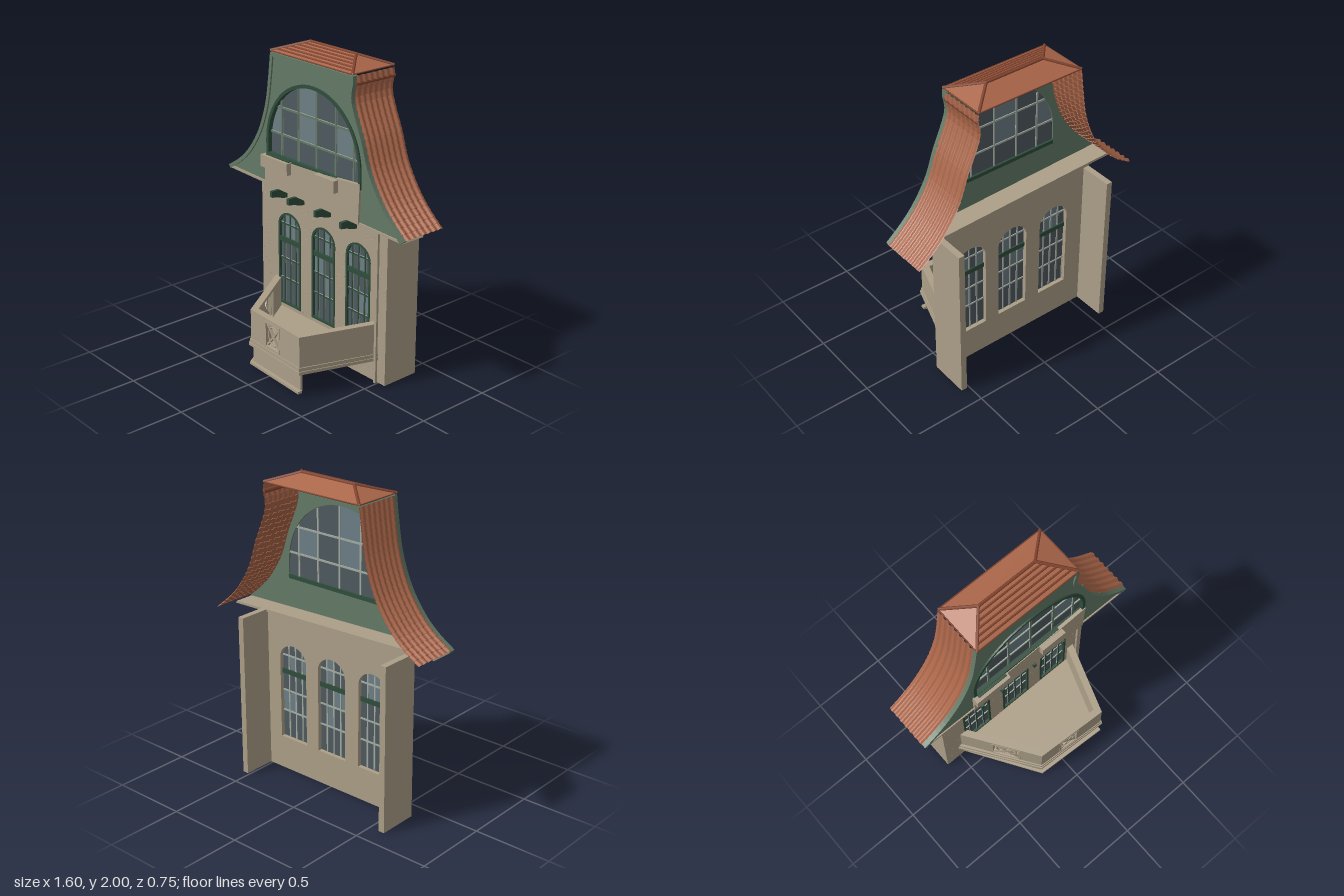
import * as THREE from 'three';
import { mergeGeometries } from 'three/addons/utils/BufferGeometryUtils.js';

const mat = (name, color, side = THREE.FrontSide) => {
  const m = new THREE.MeshStandardMaterial({ color, side });
  m.name = name;
  return m;
};
const V2 = (x, y) => new THREE.Vector2(x, y);
const V3 = (x, y, z) => new THREE.Vector3(x, y, z);

export function createModel() {
  const model = new THREE.Group();
  model.name = 'gabledFacade';
  const stone = mat('stone', 0xac9f88), green = mat('gableGreen', 0x647a67), dark = mat('darkGreen', 0x304e3d);
  const tile = mat('roofTile', 0xaa6649, THREE.DoubleSide), ridge = mat('ridgeTile', 0x84452f);
  const glassDark = mat('darkGlass', 0x4f5a5f), glassLight = mat('lightGlass', 0x6d7f86), pale = mat('paleBar', 0xa3aba2);

  const add = (name, geo, material, parent = model) => {
    const m = new THREE.Mesh(geo, material);
    m.name = name;
    parent.add(m);
    return m;
  };
  // box given by its limits
  const box = (name, x0, x1, y0, y1, z0, z1, material, parent) =>
    add(name, new THREE.BoxGeometry(x1 - x0, y1 - y0, z1 - z0)
      .translate((x0 + x1) / 2, (y0 + y1) / 2, (z0 + z1) / 2), material, parent);
  // outline in xy, extruded between z0 and z1
  const plate = (name, shape, z0, z1, material, parent) =>
    add(name, new THREE.ExtrudeGeometry(shape, { depth: z1 - z0, bevelEnabled: false, curveSegments: 20 })
      .translate(0, 0, z0), material, parent);
  // plan outline in xz, extruded between y0 and y1
  const slab = (name, pts, y0, y1, material) =>
    add(name, new THREE.ExtrudeGeometry(new THREE.Shape(pts.map(([x, z]) => V2(x, -z))), { depth: y1 - y0, bevelEnabled: false })
      .rotateX(-Math.PI / 2).translate(0, y0, 0), material);
  const rod = (name, a, b, r, material) =>
    add(name, new THREE.TubeGeometry(new THREE.LineCurve3(a, b), 1, r, 6), material);

  // ---------- arched windows ----------
  const arch = (w, inset = 0) => {
    const s = new THREE.Shape(), rx = w.rx - inset;
    s.moveTo(w.cx - rx, w.y0 + inset);
    s.lineTo(w.cx + rx, w.y0 + inset);
    s.lineTo(w.cx + rx, w.ys);
    s.absellipse(w.cx, w.ys, rx, w.ry - inset, 0, Math.PI, false);
    return s;
  };
  const archTop = (w, x) => w.ys + w.ry * Math.sqrt(Math.max(0, 1 - ((x - w.cx) / w.rx) ** 2));
  const archHalf = (w, y) => y <= w.ys ? w.rx : w.rx * Math.sqrt(Math.max(0, 1 - ((y - w.ys) / w.ry) ** 2));
  const addWindow = (name, w) => {
    const g = new THREE.Group();
    g.name = name;
    model.add(g);
    const ring = arch(w);
    ring.holes.push(arch(w, w.frame));
    plate('frame', ring, w.z, w.front, dark, g);
    const xs = [w.cx - w.rx, ...w.cols, w.cx + w.rx], ys = [w.y0, ...w.rows, w.ys + w.ry];
    // panes, cut off by the arch
    for (let c = 0; c + 1 < xs.length; c++) for (let r = 0; r + 1 < ys.length; r++) {
      const top = [];
      for (let i = 0; i <= 8; i++) {
        const x = xs[c + 1] + (xs[c] - xs[c + 1]) * i / 8;
        top.push(V2(x, Math.max(ys[r], Math.min(ys[r + 1], archTop(w, x)))));
      }
      if (top.every(p => p.y - ys[r] < 0.005)) continue;
      const shape = new THREE.Shape([V2(xs[c], ys[r]), V2(xs[c + 1], ys[r]), ...top]);
      plate('pane', shape, w.z - 0.003, w.z + 0.003, w.light.includes(c + ',' + r) ? glassLight : glassDark, g);
    }
    // pale bars with a painted front strip
    const b = w.bar / 2;
    const bar = (n, x0, x1, y0, y1, d) => {
      box(n, x0, x1, y0, y1, w.z - 0.008 - d, w.z + 0.009 + d, pale, g);
      box(n + 'Front', x0, x1, y0, y1, w.z + 0.009 + d, w.z + 0.012 + d, w.barMat, g);
    };
    for (const x of w.cols) bar('mullion', x - b, x + b, w.y0, archTop(w, x) - 0.005, 0);
    for (const y of w.rows) bar('glazingBar', w.cx - archHalf(w, y), w.cx + archHalf(w, y), y - b, y + b, 0.001);
    if (w.transom) box('transom', w.cx - w.rx, w.cx + w.rx, w.transom - 0.016, w.transom + 0.016, w.z - 0.012, w.front - 0.002, dark, g);
  };

  const lower = [[-0.331, ['1,4', '2,4', '1,3', '2,3']], [-0.008, ['2,4', '2,3', '0,2', '1,2', '2,1']], [0.307, ['0,3', '2,3', '2,1', '3,1']]]
    .map(([cx, light]) => ({
      cx, rx: 0.108, y0: 0.22, ys: 0.765, ry: 0.098, z: -0.13, front: -0.111, frame: 0.014, bar: 0.01, barMat: dark, light,
      cols: [-0.055, 0, 0.055].map(d => cx + d), rows: [0.4, 0.54, 0.665, 0.78], transom: 0.67,
    }));
  lower.forEach((w, i) => addWindow('archedWindow' + (i + 1), w));
  const big = {
    cx: 0.015, rx: 0.425, y0: 1.265, ys: 1.36, ry: 0.43, z: -0.028, front: 0.004, frame: 0.02, bar: 0.012, barMat: green,
    cols: [-0.285, -0.13, 0.035, 0.205, 0.36], rows: [1.42, 1.59], light: ['2,2', '0,1', '2,1', '4,1'],
  };
  addWindow('gableWindow', big);

  // ---------- walls ----------
  const wall = new THREE.Shape([V2(-0.605, 0), V2(0.555, 0), V2(0.555, 1.05), V2(-0.605, 1.085)]);
  lower.forEach(w => wall.holes.push(arch(w)));
  plate('frontWall', wall, -0.16, -0.115, stone);
  box('rightSideWall', -0.605, -0.565, 0, 1.06, -0.375, -0.116, stone);
  box('leftSideWall', 0.515, 0.555, 0, 1.06, -0.375, -0.116, stone);
  // sloping underside along the whole eave
  plate('soffit', new THREE.Shape([V2(-0.785, 1.082), V2(0.785, 1.037), V2(0.775, 1.052), V2(-0.775, 1.098)]), -0.17, 0.002, stone);
  box('downpipe', 0.488, 0.506, 0.01, 1.04, -0.097, -0.082, stone);

  // rough plaster grains
  let seed = 7;
  const rnd = () => (seed = (seed * 16807) % 2147483647) / 2147483647;
  const grains = [];
  while (grains.length < 260) {
    const x = -0.6 + rnd() * 1.15, y = 0.02 + rnd() * 1.01;
    if (lower.some(w => Math.abs(x - w.cx) < 0.12 && y > 0.2 && y < 0.88)) continue;
    grains.push(new THREE.OctahedronGeometry(0.002 + rnd() * 0.002).scale(1, 1, 0.7).translate(x, y, -0.115));
  }
  add('plasterGrains', mergeGeometries(grains), stone);

  // ---------- gable ----------
  const curve = pts => new THREE.CatmullRomCurve3(pts.map(([x, y]) => V3(x, y, 0)));
  const sides = [
    { sign: -1, name: 'right', c: curve([[-0.793, 1.095], [-0.68, 1.168], [-0.59, 1.25], [-0.485, 1.4], [-0.412, 1.59], [-0.378, 1.78], [-0.36, 1.922]]) },
    { sign: 1, name: 'left', c: curve([[0.788, 1.047], [0.695, 1.125], [0.605, 1.22], [0.503, 1.38], [0.438, 1.56], [0.386, 1.68], [0.353, 1.775], [0.354, 1.83], [0.366, 1.88], [0.362, 1.922]]) },
  ];
  // point at u along a side, moved outward by d
  const edge = (s, u, d) => {
    const p = s.c.getPointAt(u), t = s.c.getTangentAt(u);
    return V2(p.x + s.sign * t.y * d, p.y - s.sign * t.x * d);
  };
  const along = (s, d, n = 24) => Array.from({ length: n + 1 }, (_, i) => edge(s, i / n, d));
  const gable = new THREE.Shape([...along(sides[1], 0), ...along(sides[0], 0).reverse()]);
  gable.holes.push(arch(big));
  plate('gableBoard', gable, -0.04, -0.006, green);
  for (const s of sides)
    plate(s.name + 'Bargeboard', new THREE.Shape([...along(s, 0.004), ...along(s, -0.02).reverse()]), -0.03, 0.004, green);
  box('topTrim', -0.355, 0.36, 1.895, 1.922, -0.03, 0.003, green);
  plate('apron', new THREE.Shape([V2(-0.42, 1.073), V2(0.43, 1.05), V2(0.44, 1.3), V2(0.1, 1.275), V2(-0.42, 1.255)]), -0.012, 0.009, stone);
  box('windowSill', -0.41, 0.44, 1.25, 1.275, -0.045, -0.008, dark);
  box('apronBlock', -0.42, -0.168, 1.195, 1.272, 0, 0.043, stone);
  box('blockCap', -0.39, -0.18, 1.272, 1.279, 0, 0.022, dark);
  box('apronBlock', 0.08, 0.255, 1.2, 1.277, 0, 0.043, stone);

  // curved brackets below the gable
  [[-0.36, 1.035], [-0.2, 1.03], [0.05, 1.025], [0.28, 1.02]].forEach(([x, y]) => {
    const s = new THREE.Shape([V2(-0.01, y), V2(0.115, y), V2(0.115, y - 0.068), V2(0.075, y - 0.062), V2(0.035, y - 0.047), V2(-0.01, y - 0.04)].reverse());
    const g = new THREE.ExtrudeGeometry(s, { depth: 0.02, bevelEnabled: false });
    add('bracket', g.rotateY(Math.PI / 2).translate(x - 0.01, 0, 0), dark);
  });

  // ---------- tiled slopes: stepped courses over rounded columns ----------
  const courses = 24, columns = 7, per = 8, cols = columns * per;
  for (const s of sides) {
    const pos = [], idx = [];
    for (let r = 0; r < courses * 2; r++) {
      const u = Math.ceil(r / 2) / courses;
      for (let c = 0; c <= cols; c++) {
        const wave = 0.005 * (1 - Math.cos(2 * Math.PI * c / per));
        const p = edge(s, u, (r % 2 ? 0.001 : 0.005) + wave);
        pos.push(p.x, p.y, -0.022 - 0.302 * c / cols);
        if (r && c) {
          const a = (r - 1) * (cols + 1) + c - 1, b = a + 1, d = a + cols + 1, e = d + 1;
          idx.push(...(s.sign > 0 ? [a, b, e, a, e, d] : [a, e, b, a, d, e]));
        }
      }
    }
    let g = new THREE.BufferGeometry();
    g.setAttribute('position', new THREE.Float32BufferAttribute(pos, 3));
    g.setIndex(idx);
    g = g.toNonIndexed();
    g.computeVertexNormals();
    add(s.name + 'TiledSlope', g, tile);
  }
  // dark collar tiles below the cap
  rod('collar', V3(0.364, 1.875, -0.025), V3(0.364, 1.875, -0.324), 0.014, ridge);

  // ---------- hipped cap ----------
  const E = [V3(-0.362, 1.933, 0.004), V3(0.364, 1.933, 0.004), V3(0.364, 1.933, -0.322), V3(-0.362, 1.933, -0.322)];
  const R = [V3(-0.2, 1.99, -0.175), V3(0.2, 1.99, -0.175)];
  const faces = [[E[0], E[1], R[1]], [E[0], R[1], R[0]], [E[1], E[2], R[1]], [E[2], E[3], R[0]], [E[2], R[0], R[1]], [E[3], E[0], R[0]], [E[0], E[3], E[2]], [E[0], E[2], E[1]]];
  const cap = new THREE.BufferGeometry().setFromPoints(faces.flat());
  cap.computeVertexNormals();
  add('hippedCap', cap, tile);
  [[E[0], R[0]], [E[1], R[1]], [E[2], R[1]], [E[3], R[0]], [R[0], R[1]]].forEach(([a, b]) => rod('ridgeRoll', a, b, 0.01, ridge));
  E.forEach((e, i) => rod('capRim', e, E[(i + 1) % 4], 0.004, ridge));
  for (let i = 1; i < 6; i++) rod('capCourse', E[0].clone().lerp(R[0], i / 6), E[1].clone().lerp(R[1], i / 6), 0.007, ridge);

  // ---------- balcony ----------
  // upright panel from plan point p to q, its outer face on that line
  const panel = (name, p, q, y0, y1, th, hole) => {
    const len = Math.hypot(q[0] - p[0], q[1] - p[1]), g = new THREE.Group();
    g.name = name;
    g.position.set(p[0], 0, p[1]);
    g.rotation.y = Math.atan2(p[1] - q[1], q[0] - p[0]);
    model.add(g);
    const rect = (a, b, c, d) => [V2(a, c), V2(b, c), V2(b, d), V2(a, d)];
    const s = new THREE.Shape(rect(0, len, y0, y1));
    if (hole) {
      const [a, b, c, d] = hole, mx = (a + b) / 2, my = (c + d) / 2, w = b - a, h = d - c;
      s.holes.push(new THREE.Path(rect(a, b, c, d)));
      // crossed bars with a ring
      for (const k of [-1, 1])
        add('latticeBar', new THREE.BoxGeometry(Math.hypot(w, h) - 0.01, 0.014, 0.016)
          .rotateZ(k * Math.atan2(h, w)).translate(mx, my, -0.012), stone, g);
      add('latticeRing', new THREE.TorusGeometry(h * 0.36, 0.006, 6, 24).scale(w / h, 1, 1).translate(mx, my, -0.012), stone, g);
      const rim = new THREE.Shape(rect(a - 0.004, b + 0.004, c - 0.004, d + 0.004));
      rim.holes.push(new THREE.Path(rect(a + 0.008, b - 0.008, c + 0.008, d - 0.008)));
      plate('latticeRim', rim, -0.03, 0.003, stone, g);
    }
    plate('board', s, -th, 0, stone, g);
  };
  slab('balconyFloor', [[-0.505, -0.115], [-0.18, 0.348], [0.327, 0.374], [0.495, -0.115]], 0.152, 0.172, stone);
  slab('balconyMoulding', [[-0.495, -0.115], [-0.176, 0.342], [0.323, 0.368], [0.491, -0.115]], 0.172, 0.195, stone);
  const P = [[-0.475, -0.115], [-0.172, 0.336], [0.318, 0.362], [0.486, -0.115]];
  panel('rightParapet', P[0], P[1], 0.19, 0.395, 0.045, [0.21, 0.395, 0.205, 0.373]);
  panel('frontParapet', P[1], P[2], 0.19, 0.395, 0.045, [0.152, 0.293, 0.205, 0.373]);
  panel('leftParapet', P[2], P[3], 0.19, 0.395, 0.045);
  // open-sided skirt with a foot rail
  const K = [[-0.455, -0.115], [-0.165, 0.325], [0.312, 0.348]];
  const F = [[-0.467, -0.115], [-0.172, 0.348], [0.32, 0.374]];
  for (let i = 0; i < 2; i++) {
    panel('skirt', K[i], K[i + 1], 0.03, 0.156, 0.016);
    panel('footRail', F[i], F[i + 1], 0.022, 0.038, 0.03);
  }
  return model;
}
